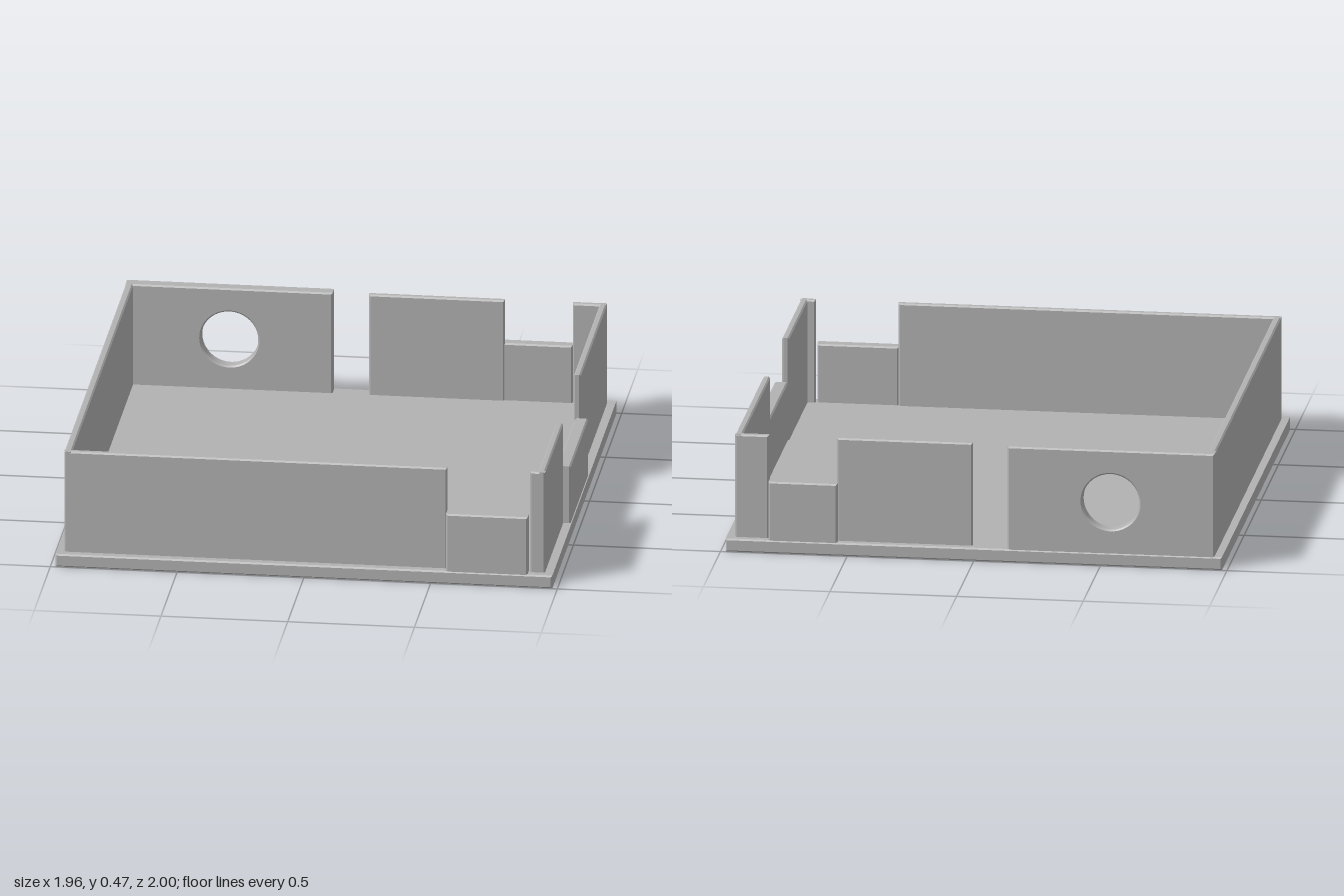
import * as THREE from 'three';

const BASE_TOP = 0.053;
const FOOT = 0.02;   // walls are sunk into the base plate
const HIGH = 0.47;
const LOW = 0.29;
const BEVEL = 0.006;

// Upright bevelled slab: u runs along the wall, n runs across its thickness.
function slab(u0, u1, y0, y1, n0, n1, hole) {
  const b = BEVEL;
  const shape = new THREE.Shape();
  shape.moveTo(u0 + b, y0 + b);
  shape.lineTo(u1 - b, y0 + b);
  shape.lineTo(u1 - b, y1 - b);
  shape.lineTo(u0 + b, y1 - b);
  shape.closePath();
  if (hole) {
    const path = new THREE.Path();
    path.absarc(hole.u, hole.y, hole.r + b, 0, Math.PI * 2, true);
    shape.holes.push(path);
  }
  const geometry = new THREE.ExtrudeGeometry(shape, {
    depth: n1 - n0 - 2 * b,
    bevelEnabled: true, bevelThickness: b, bevelSize: b, bevelSegments: 1,
    curveSegments: 40,
  });
  return geometry.translate(0, 0, n0 + b);
}

export function createModel() {
  const model = new THREE.Group();
  model.name = 'openEnclosure';
  const grey = new THREE.MeshStandardMaterial({ color: 0xb2b2b2 });
  grey.name = 'plainGrey';

  const add = (name, geometry) => {
    const mesh = new THREE.Mesh(geometry, grey);
    mesh.name = name;
    model.add(mesh);
  };
  // Wall running along x, between z0 and z1
  const wallX = (name, x0, x1, top, z0, z1, hole) =>
    add(name, slab(x0, x1, FOOT, top, z0, z1, hole));
  // Wall running along z, between x0 and x1
  const wallZ = (name, z0, z1, top, x0, x1) =>
    add(name, slab(z0, z1, FOOT, top, -x1, -x0).rotateY(-Math.PI / 2));

  // Base plate
  add('basePlate', slab(-0.98, 0.98, 0, BASE_TOP, -1, 1));

  // Front side
  wallX('frontWall', -0.95, 0.56, HIGH, 0.938, 0.966);
  wallX('frontLowPanel', 0.56, 0.882, LOW, 0.945, 0.996);
  wallX('frontCorner', 0.888, 0.947, HIGH, 0.938, 0.966);

  // Plain side wall
  wallZ('rightWall', -0.97, 0.966, HIGH, -0.95, -0.92);

  // Side wall with a low middle panel
  wallZ('leftFrontWall', 0.4, 0.966, HIGH, 0.919, 0.947);
  wallZ('leftLowPanel', -0.145, 0.4, LOW, 0.924, 0.976);
  wallZ('leftBackWall', -0.966, -0.145, HIGH, 0.919, 0.947);

  // Back side: thick wall with a round port, gap, thin wall, low panel, corner
  wallX('portWall', -0.95, -0.133, HIGH, -0.996, -0.94, { u: -0.54, y: 0.26, r: 0.113 });
  wallX('backWall', 0.01, 0.545, HIGH, -0.968, -0.94);
  wallX('backLowPanel', 0.54, 0.812, LOW, -0.996, -0.947);
  wallX('backCorner', 0.814, 0.947, HIGH, -0.968, -0.94);

  return model;
}
